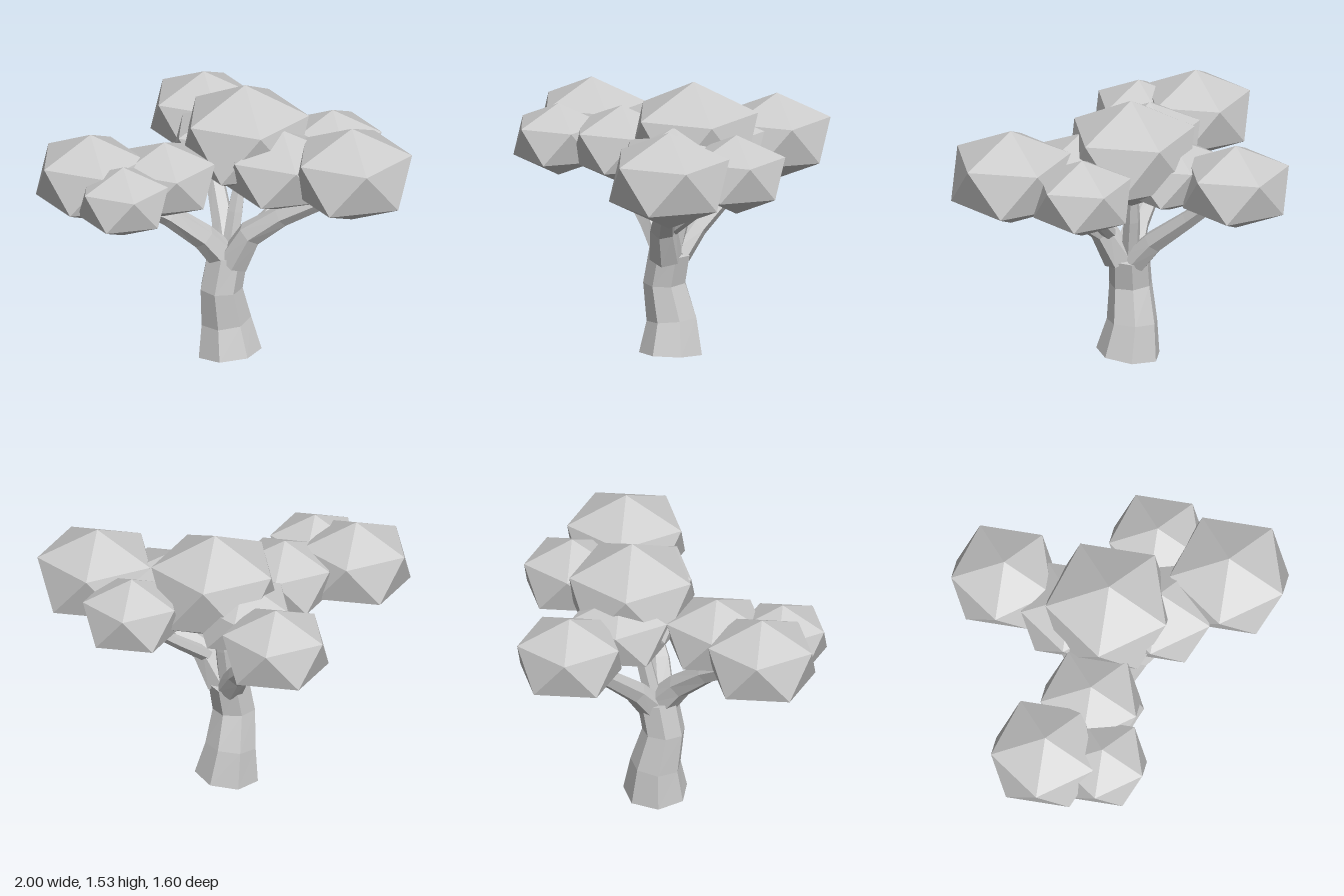
import * as THREE from 'three';

const SIDES = 7;

// Faceted, tapering limb through points [x, y, z, radius], closed at both ends
function limbGeometry(path, sides) {
  const centres = path.map(([x, y, z]) => new THREE.Vector3(x, y, z));
  const forward = new THREE.Vector3(0, 0, 1);
  const rings = centres.map((c, i) => {
    const before = centres[Math.max(i - 1, 0)];
    const after = centres[Math.min(i + 1, centres.length - 1)];
    const t = after.clone().sub(before).normalize();
    const u = new THREE.Vector3().crossVectors(forward, t).normalize();
    const v = new THREE.Vector3().crossVectors(t, u);
    return Array.from({ length: sides }, (_, k) => {
      const a = ((k + 0.5) / sides) * Math.PI * 2;
      return c.clone()
        .addScaledVector(u, Math.cos(a) * path[i][3])
        .addScaledVector(v, Math.sin(a) * path[i][3]);
    });
  });
  const corners = [];
  const last = rings.length - 1;
  for (let k = 0; k < sides; k++) {
    const n = (k + 1) % sides;
    for (let i = 0; i < last; i++) {
      const [a, b, c, d] = [rings[i][k], rings[i][n], rings[i + 1][n], rings[i + 1][k]];
      corners.push(a, b, c, a, c, d);
    }
    corners.push(centres[0], rings[0][n], rings[0][k]);
    corners.push(centres[last], rings[last][k], rings[last][n]);
  }
  const geometry = new THREE.BufferGeometry().setFromPoints(corners);
  geometry.computeVertexNormals();
  return geometry;
}

export function createModel() {
  const tree = new THREE.Group();
  tree.name = 'tree';
  const grey = new THREE.MeshStandardMaterial({ color: 0xcccccc, flatShading: true });
  grey.name = 'plain grey';

  const add = (name, geometry) => {
    const mesh = new THREE.Mesh(geometry, grey);
    mesh.name = name;
    tree.add(mesh);
    return mesh;
  };

  // Bent trunk, wider at the foot
  add('trunk', limbGeometry([
    [0.012, 0.026, 0.1, 0.174],
    [-0.008, 0.21, 0.09, 0.138],
    [-0.03, 0.41, 0.125, 0.116],
    [0, 0.59, 0.105, 0.112],
  ], SIDES));

  // Branches fanning out from the trunk top
  const branches = {
    leftFrontBranch: [[0.04, 0.57, 0.14, 0.09], [0.13, 0.75, 0.18, 0.072], [0.3, 0.88, 0.22, 0.06], [0.62, 1.06, 0.3, 0.045]],
    rightFrontBranch: [[-0.01, 0.58, 0.12, 0.085], [-0.12, 0.72, 0.17, 0.07], [-0.3, 0.87, 0.23, 0.06], [-0.6, 1.05, 0.32, 0.045]],
    backBranch: [[0, 0.57, 0.06, 0.075], [-0.03, 0.7, -0.05, 0.062], [-0.09, 0.88, -0.26, 0.05], [-0.14, 1.05, -0.45, 0.04]],
    middleBranch: [[0.01, 0.58, 0.09, 0.05], [0.04, 0.82, 0.045, 0.045], [0.08, 1.08, 0, 0.025]],
    leftBackTwig: [[0.1, 0.72, 0.15, 0.04], [0.28, 0.87, 0.05, 0.035], [0.5, 1.06, -0.07, 0.025]],
  };
  for (const [name, path] of Object.entries(branches)) add(name, limbGeometry(path, 6));

  // Twenty-sided leaf clump standing on one corner
  const clump = new THREE.IcosahedronGeometry(1, 0);
  clump.rotateZ(-Math.atan(2 / (1 + Math.sqrt(5))));

  // Leaf clumps: centre x, y, z, width radius, half height
  const clumps = {
    crownLeaves: [0.09, 1.23, 0, 0.381, 0.304],
    leftFrontLeaves: [0.68, 1.175, 0.31, 0.358, 0.265],
    leftBackLeaves: [0.55, 1.14, -0.1, 0.291, 0.217],
    leftInnerLeaves: [0.3, 1.125, 0.17, 0.335, 0.23],
    rightOuterLeaves: [-0.71, 1.125, 0.33, 0.325, 0.246],
    rightFrontLeaves: [-0.52, 1.098, 0.57, 0.268, 0.198],
    rightInnerLeaves: [-0.32, 1.1, 0.28, 0.302, 0.215],
    backLeaves: [-0.165, 1.125, -0.535, 0.318, 0.236],
    backInnerLeaves: [-0.045, 1.12, -0.15, 0.3, 0.21],
  };
  for (const [name, [x, y, z, radius, half]] of Object.entries(clumps)) {
    const mesh = add(name, clump);
    mesh.position.set(x, y, z);
    mesh.scale.set(radius, half, radius);
  }
  return tree;
}
